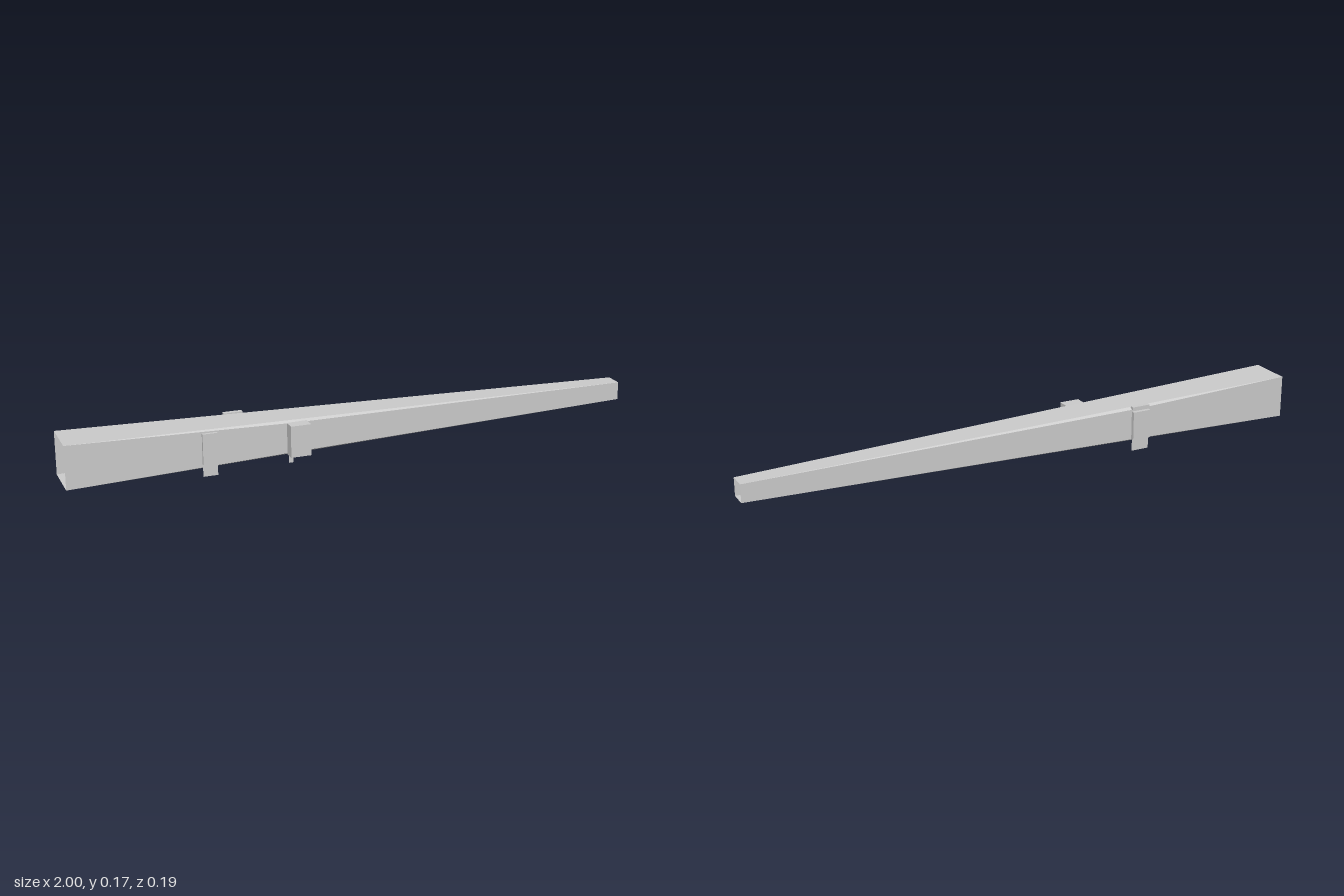
import * as THREE from 'three';

const CY = 0.095, CZ = -0.011;
const half = x => 0.0745 + (0.0315 - 0.0745) * (x + 1) / 2;

// Surface lofted between open cross-sections (equal counts of [x, y, z])
function loft(sections) {
  const n = sections[0].length, index = [];
  for (let i = 0; i < sections.length - 1; i++) {
    for (let j = 0; j < n - 1; j++) {
      const a = i * n + j, b = a + n;
      index.push(a, b, b + 1, a, b + 1, a + 1);
    }
  }
  const g = new THREE.BufferGeometry();
  g.setAttribute('position', new THREE.Float32BufferAttribute(sections.flat(2), 3));
  g.setIndex(index);
  const flat = g.toNonIndexed();
  flat.computeVertexNormals();
  return flat;
}

export function createModel() {
  const group = new THREE.Group();
  const mat = new THREE.MeshStandardMaterial({
    color: 0xcccccc, flatShading: true, side: THREE.DoubleSide,
  });
  const add = (name, geometry, parent = group) => {
    const mesh = new THREE.Mesh(geometry, mat);
    mesh.name = name;
    parent.add(mesh);
    return mesh;
  };
  const box = (name, parent, [x0, x1], [y0, y1], [z0, z1]) =>
    add(name, new THREE.BoxGeometry(x1 - x0, y1 - y0, z1 - z0), parent)
      .position.set((x0 + x1) / 2, (y0 + y1) / 2, (z0 + z1) / 2);
  const tab = (name, parent, [x0, x1], [y0, y1], z) =>
    add(name, new THREE.PlaneGeometry(x1 - x0, y1 - y0), parent)
      .position.set((x0 + x1) / 2, (y0 + y1) / 2, z);

  // Top and bottom panels: straight taper, duct open at both ends
  for (const s of [1, -1]) {
    const row = x => [-s, s].map(k => [x, CY + s * half(x), CZ - k * half(x)]);
    add(s > 0 ? 'topPanel' : 'bottomPanel', loft([row(-1), row(1)].map(r => r.reverse())));
  }

  // Side panels: nearly parallel up to the kink, then tapering
  for (const { name, s, kink, z } of [
    { name: 'frontPanel', s: 1, kink: -0.23, z: 0.058 },
    { name: 'backPanel', s: -1, kink: -0.4, z: -0.084 },
  ]) {
    const row = (x, zSide, inset) => {
      const h = half(x), zEdge = CZ + s * h;
      const r = [
        [x, CY - h, zEdge], [x, CY - h + inset, zSide],
        [x, CY + h - inset, zSide], [x, CY + h, zEdge],
      ];
      return s > 0 ? r : r.reverse();
    };
    add(name, loft([
      row(-1, CZ + s * half(-1), 0), row(kink, z, 0.007), row(1, CZ + s * half(1), 0),
    ]));
  }

  // Front latch near the wide end, with a thin hanging tab
  const latch = new THREE.Group();
  latch.name = 'frontLatch';
  box('latchPlate', latch, [-0.555, -0.505], [0.045, 0.15], [0.05, 0.07]);
  tab('latchTab', latch, [-0.555, -0.505], [0.003, 0.045], 0.064);

  // Deeper front block at the kink
  const block = new THREE.Group();
  block.name = 'frontBlock';
  box('blockBody', block, [-0.265, -0.195], [0.04, 0.148], [0.045, 0.097]);
  tab('blockTab', block, [-0.262, -0.245], [0.01, 0.042], 0.062);

  // Back clip with small lip on top and a hanging tab
  const clip = new THREE.Group();
  clip.name = 'backClip';
  box('clipPlate', clip, [-0.44, -0.375], [0.042, 0.143], [-0.097, -0.075]);
  box('clipLip', clip, [-0.44, -0.375], [0.15, 0.16], [-0.091, -0.075]);
  tab('clipTab', clip, [-0.44, -0.375], [0, 0.042], -0.088);

  group.add(latch, block, clip);
  return group;
}
